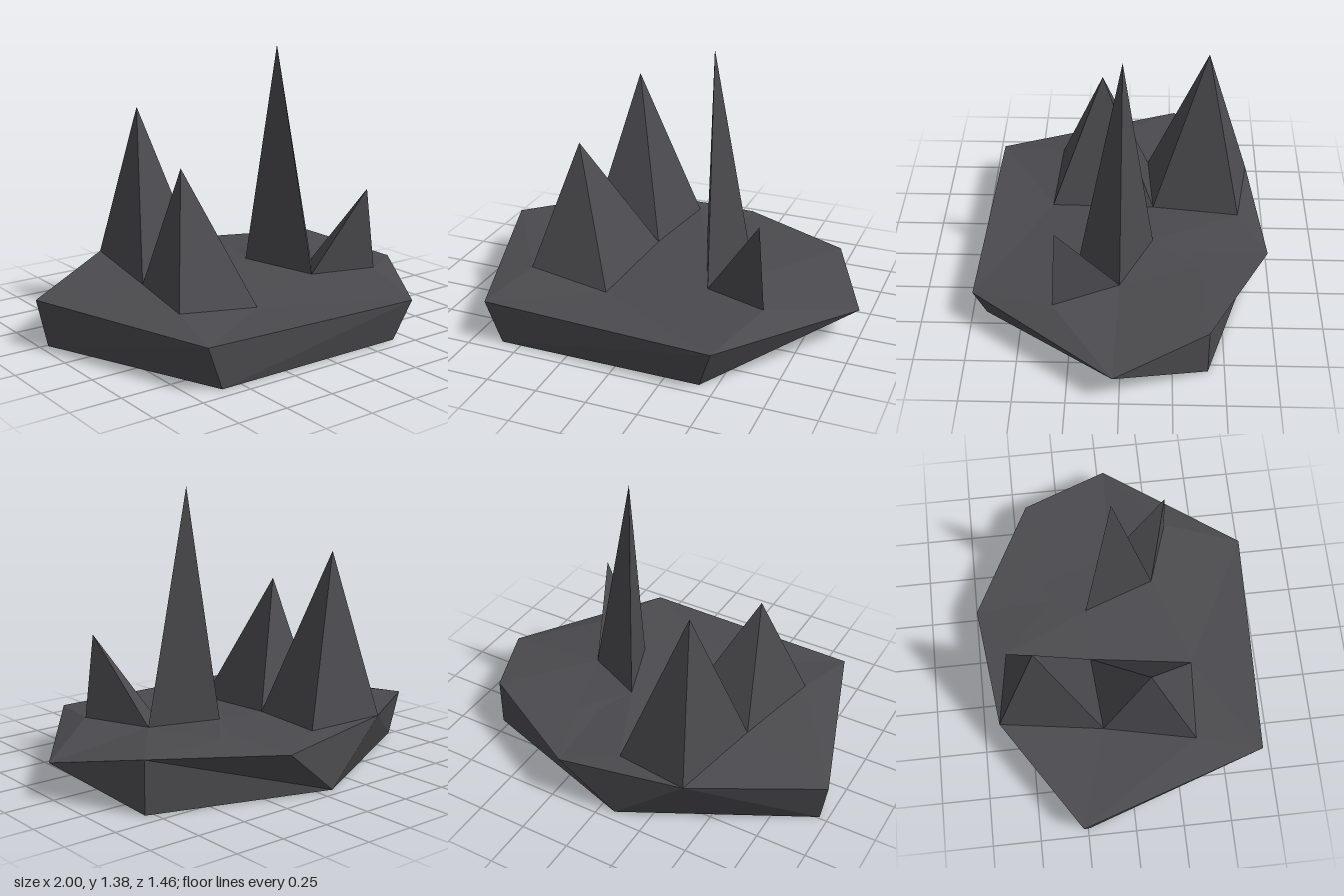
import * as THREE from 'three';

// Outer rim of the slab's top, starting from the left point
const rim = {
  W: [-1, 0.23, -0.27], NW: [-0.43, 0.285, -0.65], N: [0.21, 0.235, -0.73],
  NE: [0.79, 0.255, -0.42], E: [1, 0.17, 0.03], SE: [0.49, 0.2, 0.73], SW: [-0.68, 0.21, 0.69],
};
// Underside corners
const under = {
  u0: [0.79, 0, -0.42], u1: [-0.08, 0, -0.7], u2: [-0.96, 0, -0.24],
  u3: [-0.6, 0, 0.68], u4: [0.42, 0, 0.68],
};
// Points on the top where the spikes stand, and two on a shallow crease (p, q)
const inner = {
  a: [-0.6, 0.25, 0.35], b: [-0.18, 0.205, 0.38], c: [-0.12, 0.25, -0.15], d: [-0.5, 0.25, -0.12],
  e: [-0.05, 0.265, -0.59], f: [0.15, 0.26, -0.15], g: [0.46, 0.24, 0.01], h: [0.29, 0.24, 0.22],
  i: [0.61, 0.245, 0.33], q: [0.23, 0.247, -0.33], p: [0.33, 0.25, -0.38],
};
const points = { ...rim, ...under, ...inner };

// Flat triangles, each turned to face away from the given inside point
function facets(triangles, inside) {
  const positions = [];
  const normal = new THREE.Vector3();
  for (const tri of triangles) {
    const v = tri.map((p) => new THREE.Vector3(...p));
    new THREE.Triangle(...v).getNormal(normal);
    if (normal.dot(v[0].clone().sub(inside)) < 0) v.reverse();
    v.forEach((p) => positions.push(p.x, p.y, p.z));
  }
  const geometry = new THREE.BufferGeometry();
  geometry.setAttribute('position', new THREE.Float32BufferAttribute(positions, 3));
  geometry.computeVertexNormals();
  return geometry;
}

// Corner names to triangles of points
const lookUp = (text) => text.split(', ').map((t) => t.split(' ').map((k) => points[k]));

export function createModel() {
  const group = new THREE.Group();
  const rock = new THREE.MeshStandardMaterial({ color: 0x4b4a4e });
  rock.name = 'dark rock';

  const add = (name, triangles, inside) => {
    const mesh = new THREE.Mesh(facets(triangles, inside), rock);
    mesh.name = name;
    group.add(mesh);
  };

  // Slab: uneven top, walls and underside
  const centre = new THREE.Vector3(0, 0.1, 0);
  add('slabTop', [
    ...lookUp('W SW a, W a d, W d NW, SW SE b, SW b a, NW e N, e q N, q p N, p NE N, c f e, e f q'),
    ...lookUp('f q p, f p g, p g NE, g E NE, g i E, i SE E, i h SE, h b SE, h f b, f c b'),
  ], centre);
  add('slabWalls', [
    ...lookUp('W SW u2, SW u3 u2, SW SE u3, SE u4 u3, SE E u4, E u0 u4'),
    ...lookUp('E NE u0, NE u1 u0, NE N u1, N NW u1, NW u2 u1, NW W u2'),
  ], centre);
  add('slabUnderside', lookUp('u0 u1 u2, u0 u2 u3, u0 u3 u4'), centre);

  // Spikes: a ring of base corners joined to a tip
  const spikes = [
    ['frontRightSpike', 'a b c d', [-0.43, 0.86, 0.12]],
    ['backRightSpike', 'd c e NW', [-0.33, 1.07, -0.42]],
    ['tallSpike', 'f g h', [0.23, 1.38, 0]],
    ['smallSpike', 'h g i', [0.57, 0.66, 0.31]],
  ];
  for (const [name, corners, tip] of spikes) {
    const ring = corners.split(' ').map((k) => points[k]);
    const inside = new THREE.Vector3(...tip);
    ring.forEach((p) => inside.add(new THREE.Vector3(...p)));
    inside.divideScalar(ring.length + 1);
    add(name, ring.map((p, k) => [p, ring[(k + 1) % ring.length], tip]), inside);
  }
  return group;
}
